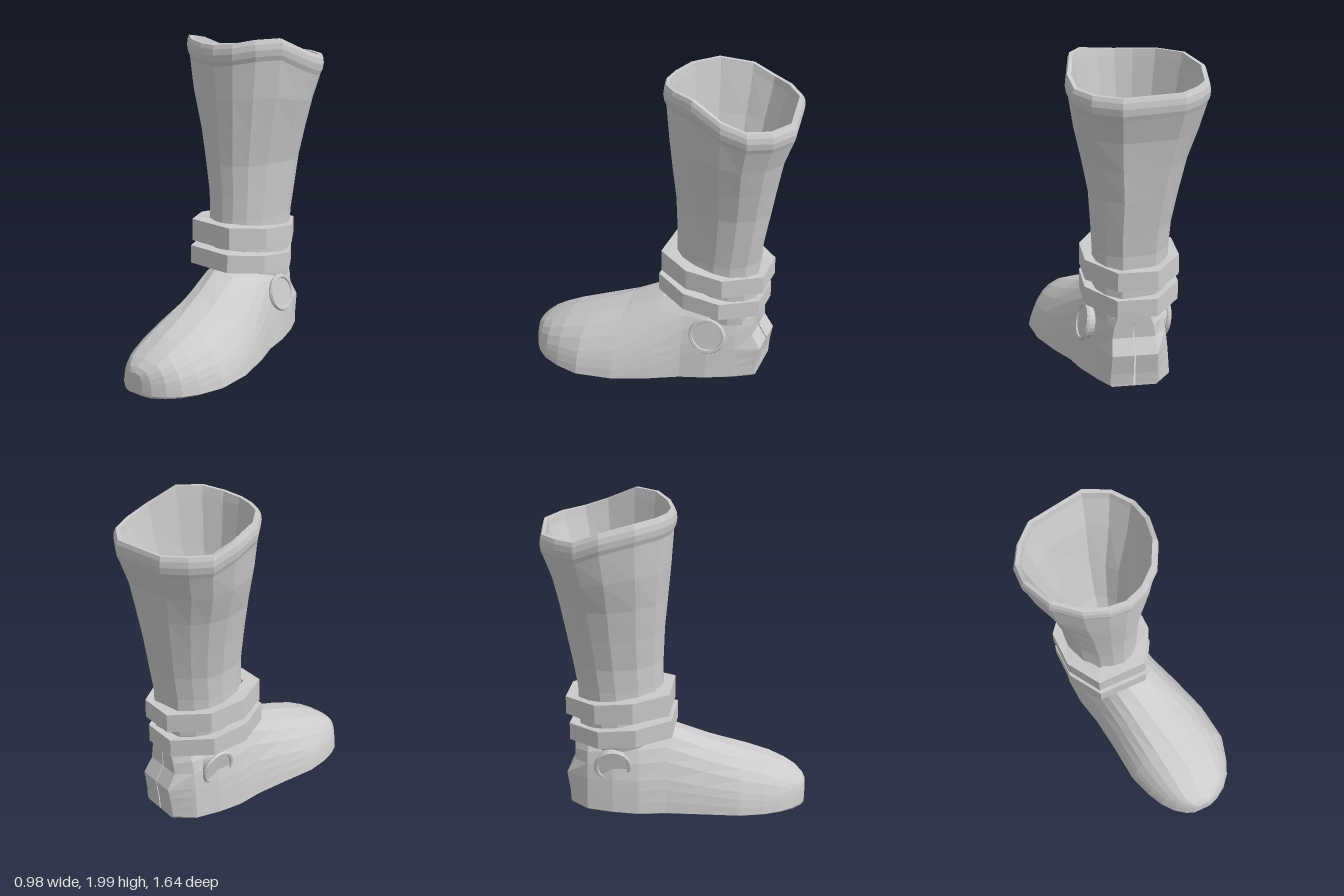
import * as THREE from 'three';

const material = new THREE.MeshStandardMaterial({ color: 0xcccccc, flatShading: true, side: THREE.DoubleSide });

// Skin a list of closed rings; every ring holds [x, y, z] points.
function loft(name, rings, { capEnd = false, loop = false } = {}) {
  const pos = [];
  const n = rings[0].length;
  const tri = (...pts) => pts.forEach((p) => pos.push(...p));
  const last = loop ? rings.length : rings.length - 1;
  for (let j = 0; j < last; j++) {
    const lo = rings[j], hi = rings[(j + 1) % rings.length];
    for (let i = 0; i < n; i++) {
      const k = (i + 1) % n;
      tri(lo[i], hi[k], lo[k]);
      tri(lo[i], hi[i], hi[k]);
    }
  }
  if (capEnd) {
    const ring = rings[rings.length - 1];
    const c = [0, 1, 2].map((a) => ring.reduce((s, p) => s + p[a], 0) / n);
    ring.forEach((p, i) => tri(c, ring[(i + 1) % n], p));
  }
  const geo = new THREE.BufferGeometry();
  geo.setAttribute('position', new THREE.Float32BufferAttribute(pos, 3));
  geo.computeVertexNormals();
  const mesh = new THREE.Mesh(geo, material);
  mesh.name = name;
  return mesh;
}

// Piecewise linear lookup in [key, value] pairs with rising keys.
function sample(table, t) {
  if (t <= table[0][0]) return table[0][1];
  for (let i = 1; i < table.length; i++) {
    const [a, va] = table[i - 1], [b, vb] = table[i];
    if (t <= b) return va + ((vb - va) * (t - a)) / (b - a);
  }
  return table[table.length - 1][1];
}

// Leg outline seen from above, flat at the back, scaled to -1..1
const outline = [
  [0.08, -0.82], [0.24, -0.74], [0.33, -0.61], [0.35, -0.46], [0.31, -0.27],
  [0.23, -0.12], [0.12, -0.03], [0, 0.01], [-0.12, 0], [-0.26, -0.05],
  [-0.41, -0.18], [-0.49, -0.38], [-0.48, -0.53], [-0.41, -0.65], [-0.29, -0.76],
].map(([x, z]) => [(x + 0.07) / 0.42, (z + 0.405) / 0.415]);

// Wavy top edge: high at the front, low at the back
const edgeHeight = [[-1, 1.84], [-0.5, 1.855], [-0.23, 1.87], [0.13, 1.95], [0.4, 1.975], [0.75, 1.975], [1, 1.95]];
const topEdge = (nx, nz) => sample(edgeHeight, nz) + 0.03 * nx * Math.max(0, 1 - Math.abs(nz - 0.4));

// Horizontal ring; wave mixes in the top edge's rise and fall
function legRing(y, x0, x1, z0, z1, wave = 0, scale = 1) {
  return outline.map(([nx, nz]) => [
    (x0 + x1) / 2 + (nx * scale * (x1 - x0)) / 2,
    y + wave * (topEdge(nx, nz) - 1.92),
    (z0 + z1) / 2 + (nz * scale * (z1 - z0)) / 2,
  ]);
}

function makeShaft() {
  const top = (drop, scale) => legRing(1.92 - drop, -0.49, 0.35, -0.82, 0.015, 1, scale);
  return loft('shaft', [
    legRing(0.42, -0.22, 0.18, -0.6, -0.08),
    legRing(0.6, -0.27, 0.19, -0.61, -0.06),
    legRing(0.85, -0.27, 0.19, -0.62, -0.07),
    legRing(1.0, -0.28, 0.2, -0.645, -0.07),
    legRing(1.2, -0.32, 0.215, -0.68, -0.06),
    legRing(1.4, -0.365, 0.255, -0.715, -0.04, 0.1),
    legRing(1.6, -0.43, 0.3, -0.75, -0.02, 0.4),
    // rolled rim
    top(0.13, 0.955), top(0.1, 0.985), top(0.06, 1), top(0.025, 0.99), top(0, 0.965), top(0, 0.91), top(0.05, 0.89),
    // lining
    legRing(1.6, -0.43, 0.3, -0.75, -0.02, 0.4, 0.88),
    legRing(1.2, -0.32, 0.215, -0.68, -0.06, 0, 0.84),
    legRing(0.85, -0.27, 0.19, -0.62, -0.07, 0, 0.75),
    legRing(0.5, -0.14, 0.08, -0.43, -0.21),
  ], { capEnd: true });
}

// Eight-sided ankle strap, sloping down towards the heel
const strapShape = [[0.42, -1], [1, -0.36], [1, 0.36], [0.56, 1], [-0.56, 1], [-1, 0.36], [-1, -0.36], [-0.42, -1]];
function makeStrap(name, front, back, z0, z1) {
  const ring = (level, scale) => strapShape.map(([nx, nz]) => {
    const t = (nz + 1) / 2;
    return [
      -0.042 + 0.283 * nx * scale,
      THREE.MathUtils.lerp(back[level], front[level], t),
      (z0 + z1) / 2 + (nz * scale * (z1 - z0)) / 2,
    ];
  });
  return loft(name, [ring(0, 1), ring(1, 1), ring(1, 0.72), ring(0, 0.72)], { loop: true });
}

function makeFoot() {
  // z, left x, right x, sole y, top y, ridge x, squareness
  const sections = [
    [-0.64, -0.03, -0.02, 0.06, 0.5, -0.025, 0.4],
    [-0.64, -0.17, 0.12, 0.06, 0.5, -0.03, 0.4],
    [-0.52, -0.26, 0.19, 0.055, 0.52, -0.04, 0.45],
    [-0.36, -0.28, 0.26, 0.05, 0.54, -0.04, 0.5],
    [-0.2, -0.27, 0.3, 0.04, 0.55, -0.03, 0.65],
    [-0.03, -0.23, 0.38, 0.035, 0.545, -0.01, 0.9],
    [0.2, -0.2, 0.46, 0.025, 0.435, 0.05, 0.92],
    [0.43, -0.18, 0.49, 0.02, 0.35, 0.11, 0.88],
    [0.58, -0.13, 0.45, 0.015, 0.295, 0.14, 0.8],
    [0.68, -0.08, 0.405, 0.015, 0.245, 0.15, 0.7],
    [0.75, -0.025, 0.345, 0.015, 0.205, 0.15, 0.6],
    [0.8, 0.04, 0.27, 0.015, 0.165, 0.15, 0.55],
    [0.82, 0.09, 0.21, 0.02, 0.135, 0.15, 0.5],
  ];
  // heel bulges backwards, then steps in below the straps
  const heelCurve = [[0.1, 0], [0.25, -0.025], [0.34, 0.03], [0.5, 0.025]];
  const levels = [0, 0.15, 0.3, 0.43, 0.64, 0.8, 0.93, 1];
  const rings = sections.map(([z, xl, xr, y0, y1, xm, p]) => {
    const point = (v, edge) => {
      const y = y0 + (y1 - y0) * v;
      const reach = Math.pow(1 - Math.pow(v, 2 / p), p / 2) * (1 - 0.15 * v);
      return [xm + (edge - xm) * reach, y, z + (z < -0.6 ? sample(heelCurve, y) : 0)];
    };
    const inset = (xr - xl) * 0.04;
    return [
      ...levels.map((v) => point(v, xl)),
      ...levels.slice(0, -1).reverse().map((v) => point(v, xr)),
      // sole edge
      [xr - inset, y0 - 0.015, z], [xl + inset, y0 - 0.015, z],
    ];
  });
  return loft('foot', rings, { capEnd: true });
}

// Round ankle stud: flat disc inside a raised ring
function makeStud(name, x, turn, tilt) {
  const stud = new THREE.Group();
  stud.name = name;
  const disc = new THREE.Mesh(new THREE.CylinderGeometry(0.1, 0.1, 0.06, 24), material);
  disc.name = 'studDisc';
  disc.rotation.x = Math.PI / 2;
  const ring = new THREE.Mesh(new THREE.TorusGeometry(0.103, 0.015, 6, 28), material);
  ring.name = 'studRing';
  ring.position.z = 0.026;
  stud.add(disc, ring);
  stud.position.set(x, 0.355, -0.36);
  stud.rotation.y = turn;
  stud.rotateX(tilt);
  return stud;
}

export function createModel() {
  const boot = new THREE.Group();
  boot.name = 'boot';
  boot.add(
    makeFoot(),
    makeShaft(),
    makeStrap('upperStrap', [0.69, 0.83], [0.655, 0.77], -0.66, -0.01),
    makeStrap('lowerStrap', [0.545, 0.66], [0.48, 0.59], -0.64, 0.005),
    makeStud('rightStud', -0.225, -Math.PI / 2 + 0.12, 0.2),
    makeStud('leftStud', 0.215, Math.PI / 2 + 0.12, -0.22),
  );
  return boot;
}
